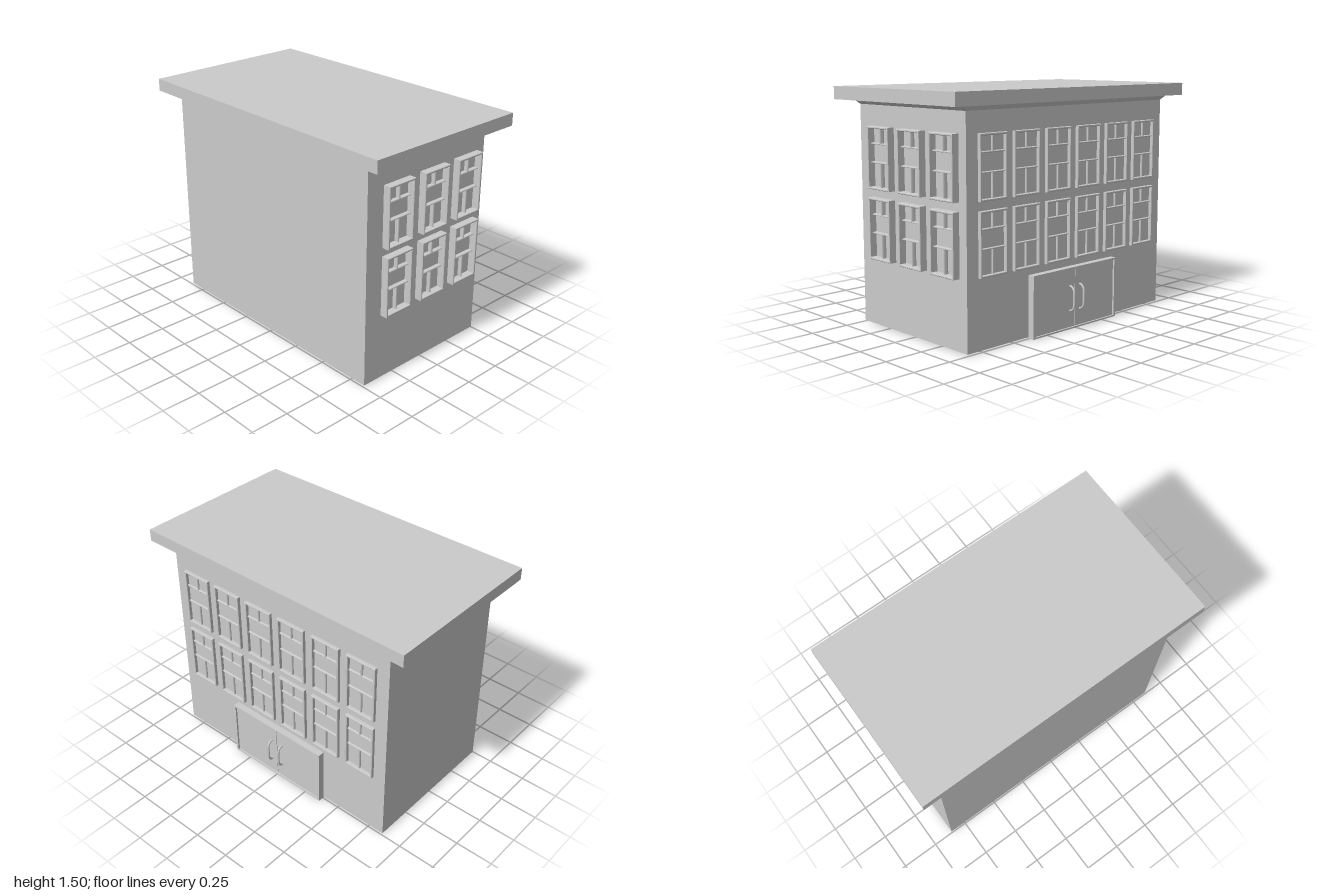
import * as THREE from 'three';

const mat = new THREE.MeshStandardMaterial({ color: 0xcccccc, flatShading: true });
const smooth = new THREE.MeshStandardMaterial({ color: 0xcccccc });

function add(parent, name, geometry, x = 0, y = 0, z = 0, material = mat) {
  const mesh = new THREE.Mesh(geometry, material);
  mesh.name = name;
  mesh.position.set(x, y, z);
  parent.add(mesh);
  return mesh;
}

function box(parent, name, x0, x1, y0, y1, z0, z1) {
  return add(parent, name, new THREE.BoxGeometry(x1 - x0, y1 - y0, z1 - z0),
    (x0 + x1) / 2, (y0 + y1) / 2, (z0 + z1) / 2);
}

function rectPath(path, w, h) {
  path.moveTo(-w / 2, -h / 2);
  path.lineTo(w / 2, -h / 2);
  path.lineTo(w / 2, h / 2);
  path.lineTo(-w / 2, h / 2);
  path.closePath();
  return path;
}

// Window facing +z with its back on z = 0
function createWindow(name, depth) {
  const w = 0.21, h = 0.384, rim = 0.013, bevel = 0.003;
  const group = new THREE.Group();
  group.name = name;

  // Bevelled rim
  const shape = rectPath(new THREE.Shape(), w - 2 * bevel, h - 2 * bevel);
  shape.holes.push(rectPath(new THREE.Path(), w - 2 * rim + 2 * bevel, h - 2 * rim + 2 * bevel));
  const frame = new THREE.ExtrudeGeometry(shape, {
    depth: depth - bevel, bevelEnabled: true, bevelSegments: 1,
    bevelSize: bevel, bevelThickness: bevel
  });
  add(group, 'windowFrame', frame);

  // Rounded glazing bars
  const bar = (x, y, length, horizontal) => {
    const g = new THREE.CylinderGeometry(0.006, 0.006, length, 8);
    if (horizontal) g.rotateZ(Math.PI / 2);
    g.scale(1, 1, depth * 0.6 / 0.006);
    add(group, 'glazingBar', g, x, y, 0, smooth);
  };
  const upper = 0.085, lower = -0.03, edge = h / 2 - rim / 2;
  bar(0, upper, w - rim, true);
  bar(0, lower, w - rim, true);
  bar(0, (edge + upper) / 2, edge - upper, false);
  bar(0, (lower - edge) / 2, lower + edge, false);
  return group;
}

export function createModel() {
  const model = new THREE.Group();
  model.name = 'building';
  const wx = 0.493, wz = 0.86;

  // Walls and flat roof
  box(model, 'walls', -wx, wx, 0.008, 1.4, -wz, wz);
  box(model, 'roof', -0.568, 0.568, 1.415, 1.495, -1, 1);

  // Flared cornice under the roof
  const cornice = new THREE.BoxGeometry(2, 0.03, 2);
  const p = cornice.attributes.position;
  for (let i = 0; i < p.count; i++) {
    const top = p.getY(i) > 0;
    p.setX(i, p.getX(i) * (top ? 0.513 : wx));
    p.setZ(i, p.getZ(i) * (top ? 0.897 : wz));
  }
  cornice.computeVertexNormals();
  add(model, 'cornice', cornice, 0, 1.4, 0);

  // Two rows of windows on the front and on the left side
  for (const y of [0.628, 1.066]) {
    for (const x of [-0.263, 0.032, 0.325]) {
      const win = createWindow('frontWindow', 0.048);
      win.position.set(x, y, wz);
      model.add(win);
    }
    for (let i = 0; i < 6; i++) {
      const win = createWindow('sideWindow', 0.022);
      win.rotation.y = Math.PI / 2;
      win.position.set(wx, y, 0.669 - i * 0.2675);
      model.add(win);
    }
  }

  // Double door with surround and threshold
  const door = new THREE.Group();
  door.name = 'doubleDoor';
  model.add(door);
  box(door, 'threshold', 0.465, 0.536, 0, 0.01, -0.375, 0.375);
  box(door, 'doorHead', 0.48, 0.537, 0.378, 0.39, -0.375, 0.375);
  for (const s of [-1, 1]) {
    const a = s * 0.375, b = s * 0.361;
    box(door, 'doorJamb', 0.48, 0.537, 0.005, 0.378, Math.min(a, b), Math.max(a, b));
    const c = s * 0.002;
    box(door, 'doorLeaf', 0.48, 0.525, 0.01, 0.378, Math.min(b, c), Math.max(b, c));

    // Bowed pull handle
    const points = [[0.522, 0.272], [0.54, 0.268], [0.557, 0.248], [0.561, 0.193],
      [0.557, 0.138], [0.54, 0.118], [0.522, 0.114]];
    const curve = new THREE.CatmullRomCurve3(
      points.map(([x, y]) => new THREE.Vector3(x, y, s * 0.044)));
    add(door, 'doorHandle', new THREE.TubeGeometry(curve, 24, 0.0075, 8), 0, 0, 0, smooth);
  }
  return model;
}
